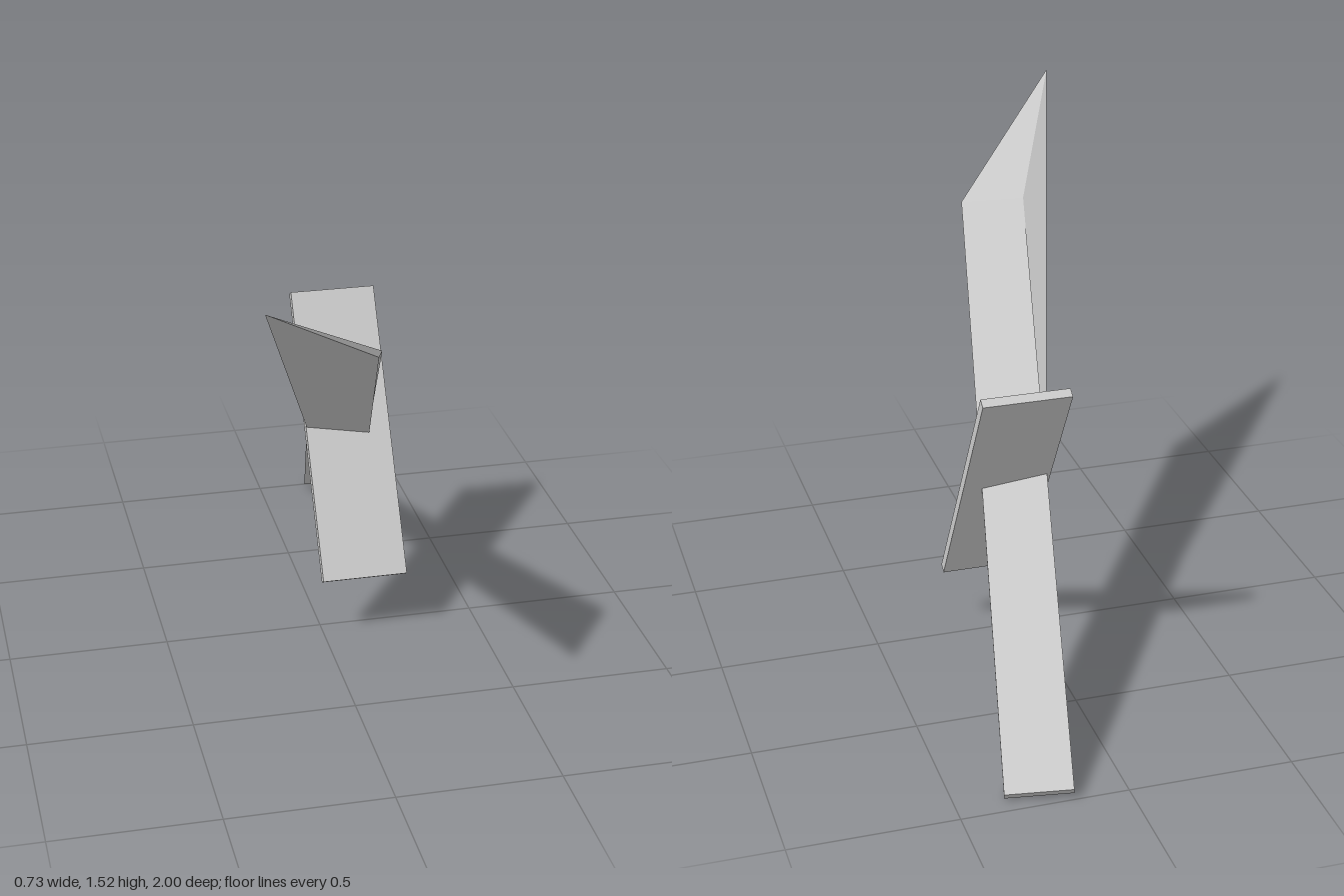
import * as THREE from 'three';

// Lofts four-cornered sections (top left, top right, bottom right, bottom left), back to front.
function loft(a, b, capStart, capEnd) {
  const pos = [];
  const quad = (p, q, r, s) => [p, q, r, p, r, s].forEach(v => pos.push(...v.toArray()));
  for (let i = 0; i < 4; i++) {
    const j = (i + 1) % 4;
    quad(a[i], b[i], b[j], a[j]);
  }
  if (capStart) quad(a[0], a[1], a[2], a[3]);
  if (capEnd) quad(b[3], b[2], b[1], b[0]);
  const g = new THREE.BufferGeometry();
  g.setAttribute('position', new THREE.Float32BufferAttribute(pos, 3));
  g.computeVertexNormals();
  return g;
}

export function createModel() {
  const group = new THREE.Group();
  const material = new THREE.MeshStandardMaterial({ color: 0xcccccc, flatShading: true });
  const add = (name, geometry) => {
    const mesh = new THREE.Mesh(geometry, material);
    mesh.name = name;
    group.add(mesh);
    return mesh;
  };

  // Common bar: pommel corner, length, width and thickness vectors
  const start = new THREE.Vector3(0.165, 0.035, -1.0);
  const along = new THREE.Vector3(-0.32, 1.2, 1.575);
  const across = new THREE.Vector3(0.195, -0.01, 0.045);
  const down = new THREE.Vector3().crossVectors(across, along).setLength(0.03);
  const section = t => {
    const p = start.clone().addScaledVector(along, t);
    const q = p.clone().add(across);
    return [p, q, q.clone().add(down), p.clone().add(down)];
  };
  const pommel = section(0);
  const base = section(0.514);
  const shoulder = section(1);

  // Blade: the lower left edge runs out to a point
  shoulder[2].set(0.025, 1.217, 0.645);
  shoulder[3].set(-0.365, 1.524, 1.0);

  add('handle', loft(pommel, base, true, true));
  add('blade', loft(base, shoulder, true, true));

  // Crossguard
  const guard = add('crossguard', new THREE.BoxGeometry(0.272, 0.932, 0.03));
  guard.position.set(0.129, 0.596, -0.17);
  guard.rotation.x = -0.548;

  return group;
}
